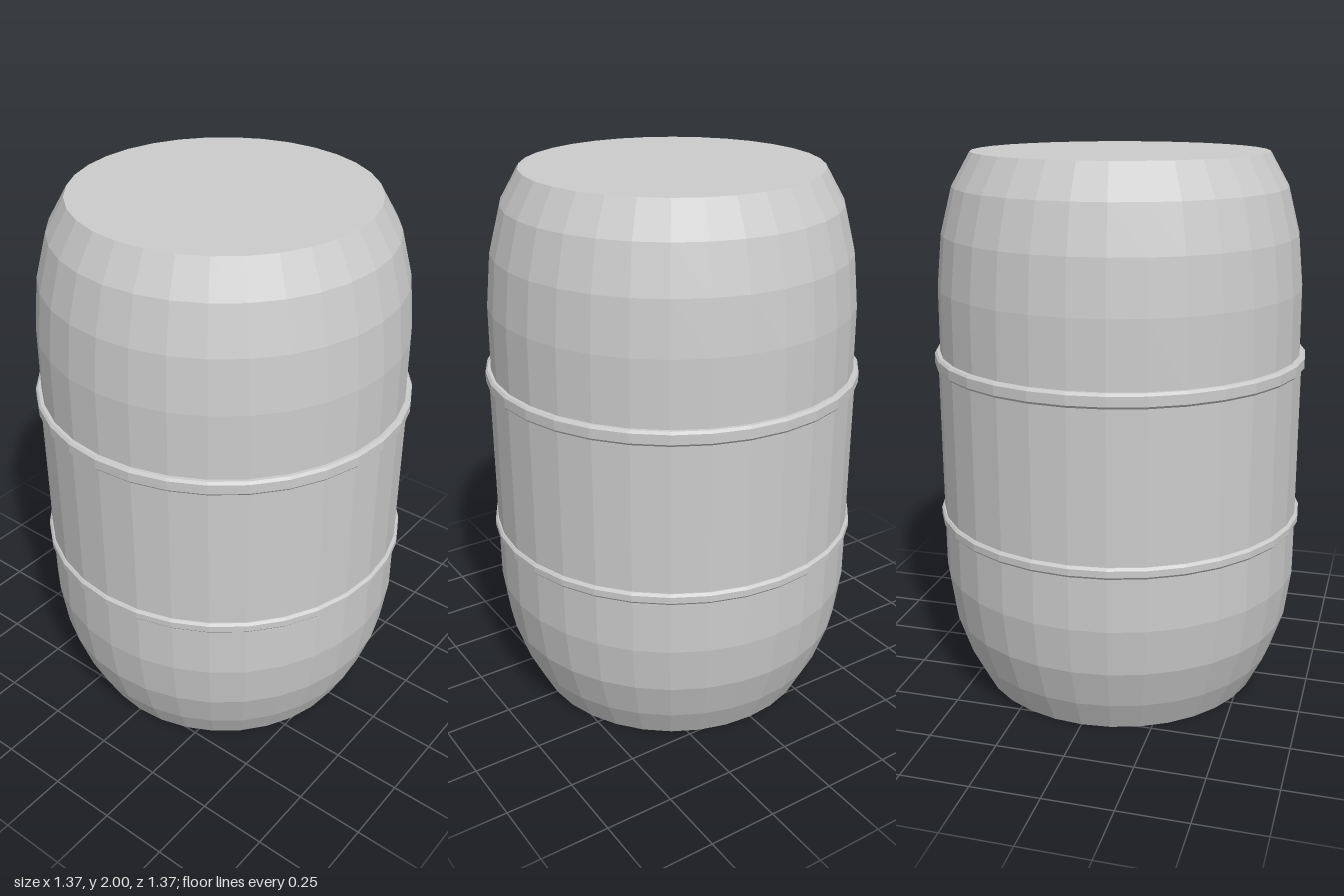
import * as THREE from 'three';

const SIDES = 32;

// Faceted solid of revolution from [radius, height] pairs, bottom to top
function turned(name, profile, material) {
  const points = profile.map(([r, y]) => new THREE.Vector2(r, y));
  const mesh = new THREE.Mesh(new THREE.LatheGeometry(points, SIDES), material);
  mesh.name = name;
  return mesh;
}

export function createModel() {
  const group = new THREE.Group();
  group.name = 'barrel';
  const material = new THREE.MeshStandardMaterial({ color: 0xcccccc, flatShading: true });

  // Bulging body with flat closed ends
  group.add(turned('body', [
    [0, 0], [0.54, 0], [0.60, 0.12], [0.65, 0.27], [0.674, 0.445],
    [0.674, 1.26], [0.666, 1.27], [0.664, 1.525], [0.645, 1.715], [0.602, 1.88],
    [0.533, 2], [0, 2],
  ], material));

  // Two thin bevelled hoops
  for (const [name, low, high] of [['lowerHoop', 0.643, 0.685], ['upperHoop', 1.235, 1.288]]) {
    group.add(turned(name, [
      [0.66, low], [0.678, low], [0.686, low + 0.009],
      [0.686, high - 0.009], [0.678, high], [0.66, high],
    ], material));
  }
  return group;
}
